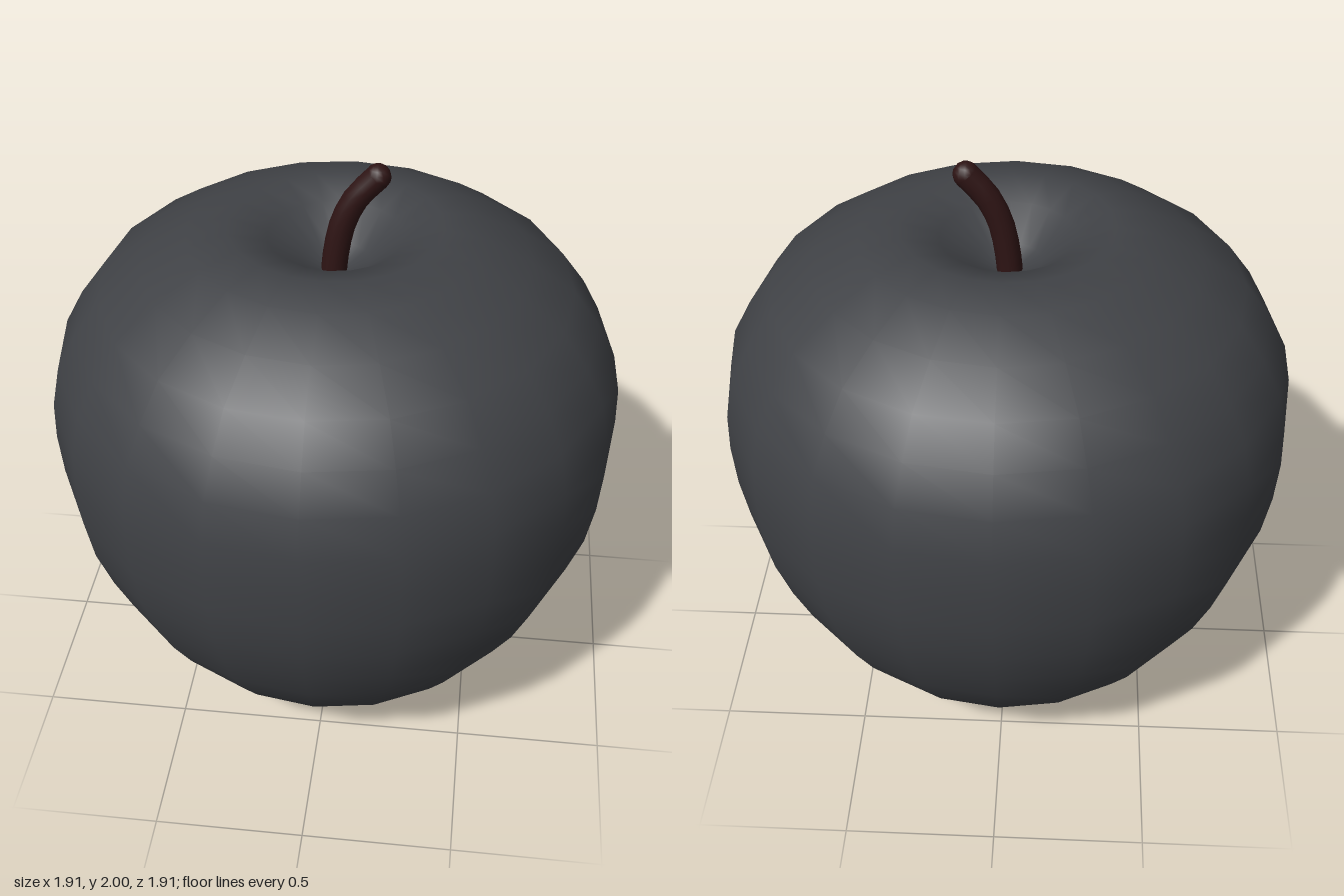
import * as THREE from 'three';

export function createModel() {
  const model = new THREE.Group();
  const skin = new THREE.MeshStandardMaterial({ color: 0x404246 });
  const bark = new THREE.MeshStandardMaterial({ color: 0x2e1414 });

  // Fruit body: turned profile from the base up and over into the hollow
  const profile = [
    [0, 0], [0.15, 0.003], [0.31, 0.03], [0.44, 0.09], [0.55, 0.17],
    [0.66, 0.26], [0.74, 0.37], [0.81, 0.49], [0.87, 0.63], [0.92, 0.78],
    [0.945, 0.93], [0.955, 1.08], [0.95, 1.21], [0.92, 1.35], [0.855, 1.47],
    [0.77, 1.585], [0.63, 1.68], [0.48, 1.757], [0.345, 1.785],
    [0.22, 1.745], [0.11, 1.655], [0, 1.6],
  ].map(([r, y]) => new THREE.Vector2(r, y));
  const fruit = new THREE.Mesh(new THREE.LatheGeometry(profile, 20), skin);
  fruit.name = 'fruit';
  model.add(fruit);

  // Stem: bent tube with a rounded tip, rooted in the hollow
  const stem = new THREE.Group();
  stem.name = 'stem';
  const path = new THREE.CatmullRomCurve3([
    [-0.01, 1.57], [0, 1.68], [0.022, 1.79], [0.063, 1.88], [0.13, 1.958],
  ].map(([x, y]) => new THREE.Vector3(x, y, 0)));
  const shaft = new THREE.Mesh(new THREE.TubeGeometry(path, 8, 0.042, 12), bark);
  shaft.name = 'stemShaft';
  const tip = new THREE.Mesh(new THREE.SphereGeometry(0.042, 12, 8), bark);
  tip.name = 'stemTip';
  tip.position.copy(path.getPoint(1));
  stem.add(shaft, tip);
  model.add(stem);

  return model;
}
